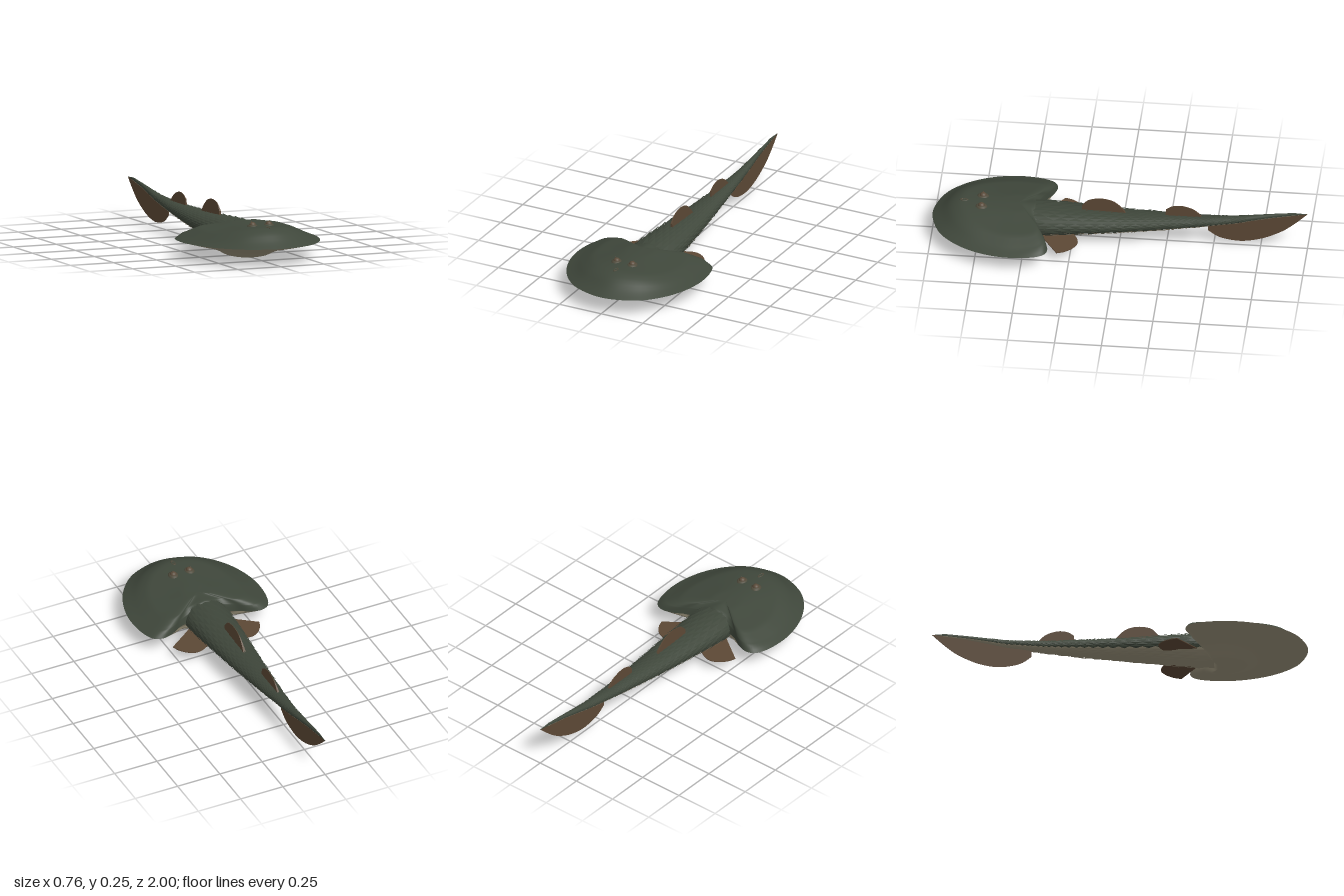
import * as THREE from 'three';
import { mergeVertices } from 'three/addons/utils/BufferGeometryUtils.js';

const mat = (name, color) => Object.assign(new THREE.MeshStandardMaterial({ color }), { name });

// Piecewise-linear lookup in [[key, value], ...] with rising keys
function lookup(table, k) {
  if (k <= table[0][0]) return table[0][1];
  for (let i = 1; i < table.length; i++) {
    const [k0, v0] = table[i - 1], [k1, v1] = table[i];
    if (k <= k1) return v0 + ((v1 - v0) * (k - k0)) / (k1 - k0);
  }
  return table[table.length - 1][1];
}

// Smooth grid surface from a rule point(u, v) -> [x, y, z]
function surface(point, nu, nv, flip) {
  const pos = [], idx = [];
  for (let i = 0; i <= nu; i++)
    for (let j = 0; j <= nv; j++) pos.push(...point(i / nu, j / nv));
  for (let i = 0; i < nu; i++)
    for (let j = 0; j < nv; j++) {
      const a = i * (nv + 1) + j, b = a + 1, c = a + nv + 1, d = c + 1;
      if (flip) idx.push(a, c, b, b, c, d);
      else idx.push(a, b, c, b, d, c);
    }
  let g = new THREE.BufferGeometry();
  g.setAttribute('position', new THREE.Float32BufferAttribute(pos, 3));
  g.setIndex(idx);
  g = mergeVertices(g, 1e-5);
  g.computeVertexNormals();
  return g;
}

// Head shield: horseshoe outline, radial height profiles
const HEAD_Z = 0.54, RIM_Y = 0.095;
const half = [[0, 1], [0.1, 0.982], [0.2, 0.935], [0.29, 0.84], [0.35, 0.72], [0.378, 0.58], [0.365, 0.44],
  [0.335, 0.378], [0.29, 0.36], [0.23, 0.375], [0.17, 0.41], [0.11, 0.428], [0, 0.432]];
const loop = [...half, ...half.slice(1, -1).reverse().map(([x, z]) => [-x, z])];
const outline = new THREE.CatmullRomCurve3(loop.map(([x, z]) => new THREE.Vector3(x, 0, z)), true);
const topSide = [[0, 0.19], [0.2, 0.187], [0.42, 0.168], [0.66, 0.15], [0.8, 0.126], [0.88, 0.112], [1, RIM_Y]];
const topFront = [[0, 0.19], [0.66, 0.19], [0.72, 0.183], [0.8, 0.165], [0.9, 0.125], [1, RIM_Y]];
const topRear = [[0, 0.19], [0.8, 0.186], [0.92, 0.175], [1, RIM_Y]];
const under = [[0, 0], [0.22, 0.003], [0.3, 0.012], [0.4, 0.033], [0.53, 0.052], [0.66, 0.062], [0.8, 0.075], [1, RIM_Y]];
function headPoint(u, t, upper) {
  const p = outline.getPoint(u % 1);
  const dz = p.z - HEAD_Z, axial = (dz * dz) / (dz * dz + p.x * p.x);
  const [profile, blend] = dz > 0 ? [topFront, axial ** 1.5] : [topRear, axial];
  const y = upper ? THREE.MathUtils.lerp(lookup(topSide, t), lookup(profile, t), blend) : lookup(under, t);
  return [p.x * t, y, HEAD_Z + dz * t];
}

// Tapering body: half width, top and bottom height along z
const width = [[-1, 0.001], [-0.8, 0.011], [-0.6, 0.024], [-0.4, 0.042], [-0.2, 0.064], [0, 0.086], [0.2, 0.106], [0.4, 0.121], [0.5, 0.115]];
const back = [[-1, 0.221], [-0.93, 0.225], [-0.8, 0.208], [-0.6, 0.178], [-0.4, 0.166], [0, 0.164], [0.2, 0.17], [0.4, 0.178], [0.5, 0.18]];
const belly = [[-1, 0.219], [-0.8, 0.183], [-0.6, 0.137], [-0.4, 0.106], [-0.2, 0.082], [0, 0.062], [0.2, 0.045], [0.4, 0.022], [0.5, 0.012]];
function bodyPoint(a, z, lift = 0) {
  const w = lookup(width, z), t = lookup(back, z), b = lookup(belly, z);
  return [Math.sin(a) * (w + lift), (t + b) / 2 + Math.cos(a) * ((t - b) / 2 + lift), z];
}
const SPLIT = THREE.MathUtils.degToRad(112);

// Rows of overlapping kite-shaped scales, staggered, for one side of the colour split
function scales(isBack) {
  const pos = [], n = 18, step = (Math.PI * 2) / n;
  let row = 0;
  for (let z = 0.43; z > -0.68; row++) {
    const w = lookup(width, z), dz = Math.max(0.014, w * 0.34), s = w / 0.12;
    for (let i = 0; i < n; i++) {
      const a = (i + (row % 2) / 2) * step - Math.PI;
      if ((Math.abs(a) < SPLIT) !== isBack) continue;
      const front = bodyPoint(a, Math.min(z + dz, 0.48), 0.0005);
      const tip = bodyPoint(a, z - dz * 1.1, 0.01 * s);
      const left = bodyPoint(a + step * 0.52, z, 0.003 * s);
      const right = bodyPoint(a - step * 0.52, z, 0.003 * s);
      pos.push(...front, ...left, ...tip, ...front, ...tip, ...right);
    }
    z -= dz;
  }
  const g = new THREE.BufferGeometry();
  g.setAttribute('position', new THREE.Float32BufferAttribute(pos, 3));
  g.computeVertexNormals();
  return g;
}

// Thin upright fin drawn in (z, y): straight root, curved edge, thinning towards height tipY
function uprightFin(root, edge, thick, rootY, tipY) {
  const s = new THREE.Shape();
  s.moveTo(...root[0]);
  root.slice(1).forEach((p) => s.lineTo(...p));
  s.lineTo(...edge[0]);
  s.splineThru(edge.slice(1).map((p) => new THREE.Vector2(...p)));
  const g = new THREE.ExtrudeGeometry(s, { depth: thick, bevelEnabled: false, curveSegments: 20 });
  g.translate(0, 0, -thick / 2);
  g.rotateY(-Math.PI / 2);
  const p = g.attributes.position;
  for (let i = 0; i < p.count; i++) {
    const k = THREE.MathUtils.clamp((tipY - p.getY(i)) / (tipY - rootY), 0.15, 1);
    p.setX(i, p.getX(i) * k);
  }
  return g;
}

export function createModel() {
  const model = new THREE.Group();
  model.name = 'armouredFish';
  const green = mat('darkGreen', 0x3f473b);
  const taupe = mat('bellyTaupe', 0x989079);
  const brown = mat('finBrown', 0x5c4835);
  const eyeBrown = mat('eyeBrown', 0x5a4b3a);
  const lidBrown = mat('eyelidOlive', 0x4e4a3b);
  const add = (name, geo, material, parent = model) => {
    const m = new THREE.Mesh(geo, material);
    m.name = name;
    parent.add(m);
    return m;
  };

  // Head shield
  add('headShieldTop', surface((u, v) => headPoint(u, v, true), 96, 24, false), green);
  add('headShieldUnderside', surface((u, v) => headPoint(u, v, false), 96, 24, true), taupe);

  // Body and scales
  const bodyPart = (a0, a1) => surface((u, v) => bodyPoint(a0 + (a1 - a0) * u, 0.5 - 1.5 * v), 28, 60, true);
  add('bodyBack', bodyPart(-SPLIT, SPLIT), green);
  add('bodyBelly', bodyPart(SPLIT, Math.PI * 2 - SPLIT), taupe);
  add('backScales', scales(true), green);
  add('bellyScales', scales(false), taupe);

  // Upright fins
  add('frontDorsalFin', uprightFin([[-0.03, 0.15], [0.2, 0.15]],
    [[0.203, 0.195], [0.165, 0.233], [0.1, 0.246], [0.04, 0.234], [0, 0.203], [-0.03, 0.165]], 0.014, 0.17, 0.25), brown);
  add('rearDorsalFin', uprightFin([[-0.44, 0.155], [-0.24, 0.15]],
    [[-0.245, 0.2], [-0.28, 0.222], [-0.33, 0.228], [-0.385, 0.212], [-0.42, 0.185], [-0.44, 0.16]], 0.012, 0.17, 0.232), brown);
  add('tailFin', uprightFin([[-0.998, 0.22], [-0.9, 0.21], [-0.75, 0.183], [-0.6, 0.15], [-0.47, 0.13]],
    [[-0.47, 0.082], [-0.52, 0.047], [-0.58, 0.03], [-0.66, 0.026], [-0.76, 0.05], [-0.86, 0.1], [-0.93, 0.155], [-0.998, 0.22]],
    0.006, 0.15, 0.02), brown);

  for (const side of [-1, 1]) {
    const label = side > 0 ? 'left' : 'right';

    // Paddle fin: flat fan behind the head
    const fan = new THREE.Shape();
    fan.moveTo(0.08, -0.44);
    fan.lineTo(0.13, -0.4);
    fan.lineTo(0.255, -0.315);
    fan.splineThru([[0.24, -0.275], [0.21, -0.237], [0.17, -0.213], [0.13, -0.215], [0.08, -0.24]].map((p) => new THREE.Vector2(...p)));
    const fanGeo = new THREE.ExtrudeGeometry(fan, { depth: 0.004, bevelEnabled: false });
    fanGeo.rotateX(-Math.PI / 2);
    const fin = new THREE.Group();
    fin.name = label + 'PaddleFin';
    fin.position.set(0, 0.067, 0);
    fin.rotation.z = -0.05 * side;
    if (side < 0) fanGeo.rotateZ(Math.PI).translate(0, 0.004, 0);
    add('finPlate', fanGeo, brown, fin);
    model.add(fin);

    // Eye on a low mound
    const eye = new THREE.Group();
    eye.name = label + 'Eye';
    eye.position.set(0.047 * side, 0.184, 0.735);
    const mound = [[0.03, -0.006], [0.027, 0.004], [0.022, 0.009], [0.016, 0.011]].map((p) => new THREE.Vector2(...p));
    add('eyelid', new THREE.LatheGeometry(mound, 24).scale(1, 1, 1.15), lidBrown, eye);
    add('eyeball', new THREE.SphereGeometry(0.018, 20, 12).scale(1, 0.9, 1).translate(0, 0.008, 0), eyeBrown, eye);
    add('eyeNub', new THREE.SphereGeometry(0.003, 8, 6).translate(0.006 * side, 0.026, 0), eyeBrown, eye);
    model.add(eye);
  }

  // Single nostril on the midline
  const nostril = add('nostril', new THREE.TorusGeometry(0.008, 0.003, 8, 20), lidBrown);
  nostril.rotation.x = Math.PI / 2;
  nostril.scale.y = 2.2;
  nostril.position.set(0, 0.189, 0.832);
  const pit = add('nostrilPit', new THREE.SphereGeometry(0.007, 12, 8), green);
  pit.scale.set(1, 0.3, 2.2);
  pit.position.set(0, 0.189, 0.832);
  return model;
}
